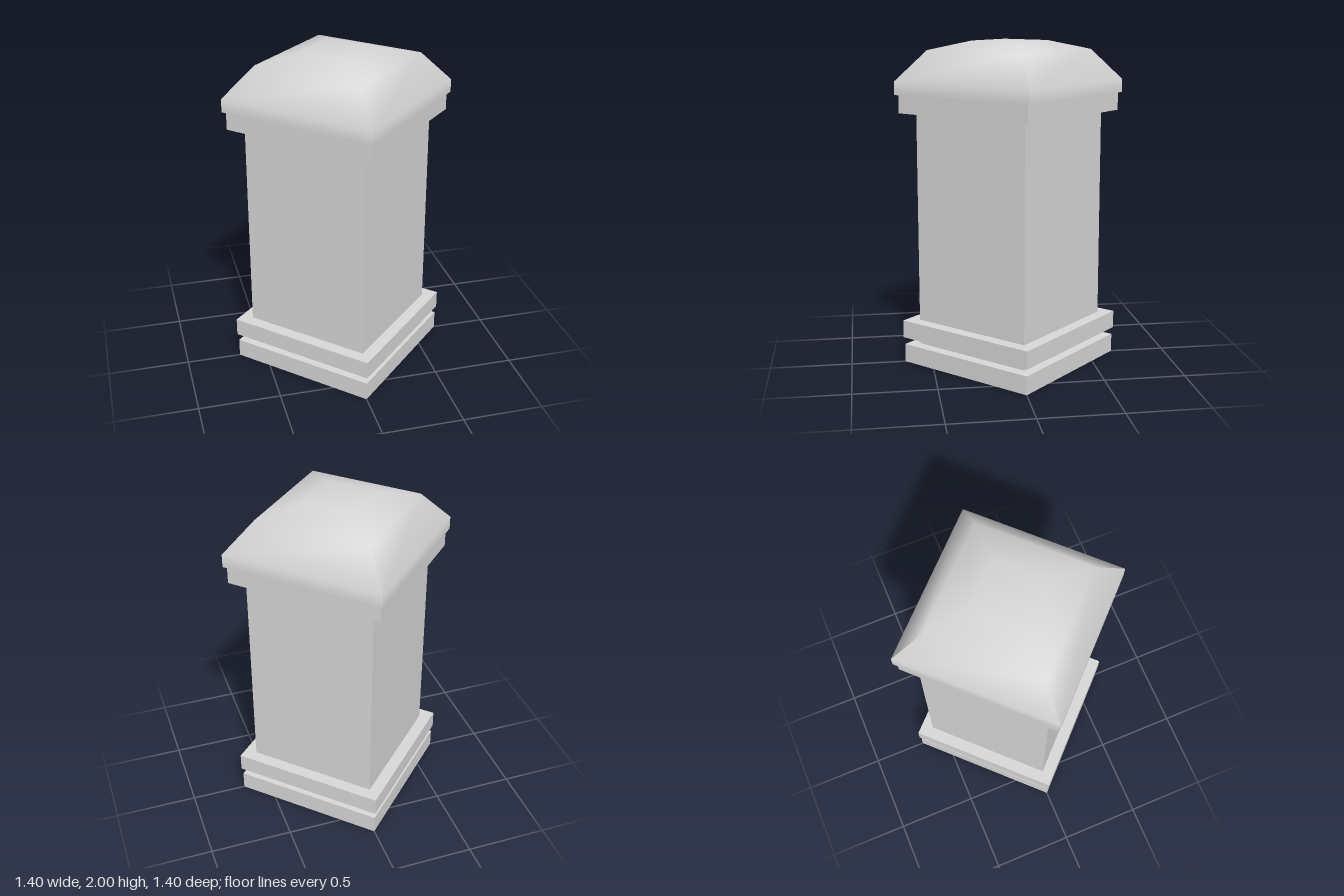
import * as THREE from 'three';

const stone = new THREE.MeshStandardMaterial({ color: 0xd9d9d9, side: THREE.DoubleSide });
stone.name = 'grey stone';

// Square slab, open underneath, turned so its corners lie on the x and z axes
function slab(name, halfDiagonal, y0, y1) {
  const side = halfDiagonal * Math.SQRT2;
  const geometry = new THREE.BoxGeometry(side, y1 - y0, side);
  // Leave out the bottom face (the fourth of the six)
  geometry.setIndex(Array.from(geometry.index.array).filter((_, i) => i < 18 || i >= 24));
  geometry.clearGroups();
  geometry.rotateY(Math.PI / 4);
  geometry.translate(0, (y0 + y1) / 2, 0);
  const mesh = new THREE.Mesh(geometry, stone);
  mesh.name = name;
  return mesh;
}

// Domed cap: square rings, sharp corners low down that melt into a smooth top.
// Each ring has a radius, a height and the outward and upward lean of its normals.
function domedCap() {
  const rings = [
    { r: 0.7, y: 1.68, out: 1, up: 0, sharp: true },
    { r: 0.7, y: 1.76, out: 0.95, up: 0.32, sharp: true },
    { r: 0.5, y: 1.945, out: 0.44, up: 0.9 },
    { r: 0.23, y: 2.0, out: 0.15, up: 0.99 },
  ];
  const positions = [];
  const normals = [];
  const indices = [];
  const corner = (ring, k, normalTurn, out, up) => {
    const a = (k * Math.PI) / 2;
    const n = (normalTurn * Math.PI) / 2;
    positions.push(ring.r * Math.sin(a), ring.y, ring.r * Math.cos(a));
    normals.push(out * Math.sin(n), up, out * Math.cos(n));
    return positions.length / 3 - 1;
  };

  // Four sides; sharp rings lean with the side, smooth rings with the corner
  for (let k = 0; k < 4; k++) {
    const columns = [k, k + 1].map((c) =>
      rings.map((ring) => corner(ring, c, ring.sharp ? k + 0.5 : c, ring.out, ring.up)));
    const [left, right] = columns;
    for (let i = 0; i < rings.length - 1; i++) {
      indices.push(left[i], right[i], right[i + 1], left[i], right[i + 1], left[i + 1]);
    }
  }

  // Flat crown and flat underside
  const crown = rings[rings.length - 1];
  const t = [0, 1, 2, 3].map((k) => corner(crown, k, k, crown.out, crown.up));
  indices.push(t[0], t[1], t[2], t[0], t[2], t[3]);
  const u = [0, 1, 2, 3].map((k) => corner(rings[0], k, k, 0, -1));
  indices.push(u[0], u[2], u[1], u[0], u[3], u[2]);

  const geometry = new THREE.BufferGeometry();
  geometry.setAttribute('position', new THREE.Float32BufferAttribute(positions, 3));
  geometry.setAttribute('normal', new THREE.Float32BufferAttribute(normals, 3));
  geometry.setIndex(indices);
  geometry.normalizeNormals();
  const mesh = new THREE.Mesh(geometry, stone);
  mesh.name = 'domedCap';
  return mesh;
}

export function createModel() {
  const group = new THREE.Group();
  group.name = 'squarePillar';
  group.add(
    slab('basePlinth', 0.665, 0, 0.115),
    slab('shaft', 0.57, 0.115, 1.68),
    slab('lowerBand', 0.675, 0.16, 0.27),
    slab('upperBand', 0.675, 1.57, 1.68),
    domedCap(),
  );
  return group;
}
